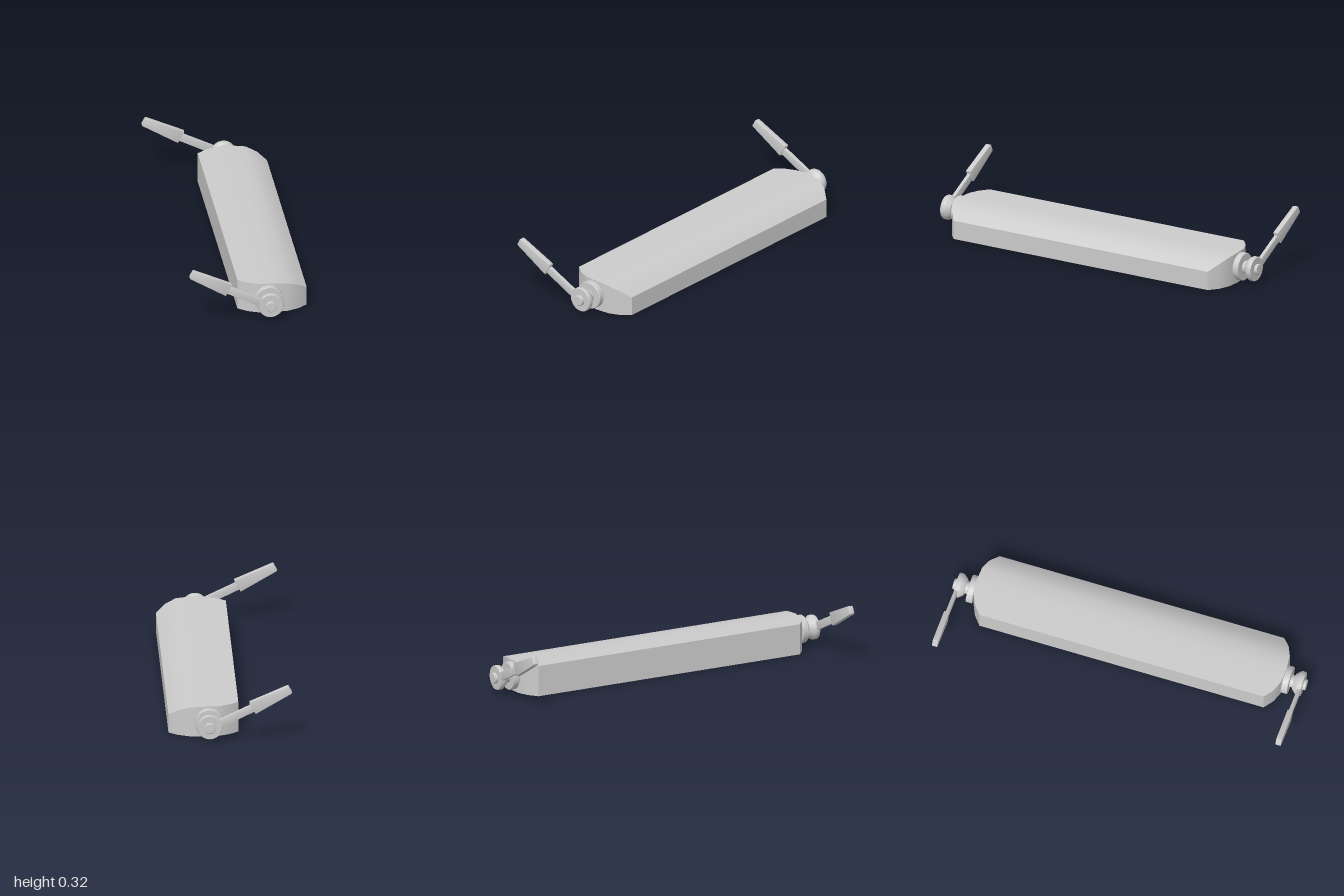
import * as THREE from 'three';
import { toCreasedNormals } from 'three/addons/utils/BufferGeometryUtils.js';

const material = new THREE.MeshStandardMaterial({ color: 0xcccccc });
const HUB = { x: 0.113, y: 0.087 };

function addMesh(parent, name, geometry, crease = 0.6) {
  const mesh = new THREE.Mesh(toCreasedNormals(geometry, crease), material);
  mesh.name = name;
  parent.add(mesh);
  return mesh;
}

// Long block lofted across x: each section is [x, top height, half length]
function bodyGeometry() {
  const sections = [
    [-0.048, 0.171, 0.805], [0.002, 0.171, 0.846], [0.06, 0.171, 0.871], [0.141, 0.171, 0.878],
    [0.222, 0.164, 0.871], [0.281, 0.141, 0.846], [0.331, 0.105, 0.805],
  ];
  const positions = [];
  const index = [];
  const quad = (a, b, c, d) => index.push(a, b, c, a, c, d);
  for (const [x, y, z] of sections) positions.push(x, 0, -z, x, 0, z, x, y, z, x, y, -z);
  for (let i = 0; i < sections.length - 1; i++) {
    for (let k = 0; k < 4; k++) {
      const n = (k + 1) % 4;
      quad(i * 4 + k, i * 4 + 4 + k, i * 4 + 4 + n, i * 4 + n);
    }
  }
  const last = (sections.length - 1) * 4;
  quad(0, 1, 2, 3);
  quad(last + 3, last + 2, last + 1, last);
  const geometry = new THREE.BufferGeometry();
  geometry.setAttribute('position', new THREE.Float32BufferAttribute(positions, 3));
  geometry.setIndex(index);
  return geometry;
}

// Turned part along z; profile is [radius, distance from the middle]
function turned(profile, side) {
  const geometry = new THREE.LatheGeometry(profile.map(([r, d]) => new THREE.Vector2(r, d)), 48);
  return geometry.rotateX(side * Math.PI / 2).translate(HUB.x, HUB.y, 0);
}

// Flat bevelled plate with its outline in the xy plane, centred on z
function plate(points, thickness, bevel, z) {
  const shape = new THREE.Shape(points.map(([x, y]) => new THREE.Vector2(x, y)));
  const geometry = new THREE.ExtrudeGeometry(shape, {
    depth: thickness - 2 * bevel, bevelThickness: bevel, bevelSize: bevel, bevelOffset: -bevel, bevelSegments: 2,
  });
  return geometry.translate(0, 0, z - thickness / 2 + bevel);
}

export function createModel() {
  const model = new THREE.Group();
  model.name = 'blockWithLevers';
  addMesh(model, 'body', bodyGeometry());

  for (const side of [1, -1]) {
    const end = new THREE.Group();
    end.name = side > 0 ? 'frontLeverAssembly' : 'backLeverAssembly';
    model.add(end);

    // Mounting disc, neck, flared hub and end cap
    addMesh(end, 'mountingDisc', turned(
      [[0, 0.874], [0.074, 0.874], [0.077, 0.878], [0.077, 0.906], [0.074, 0.91], [0, 0.91]], side));
    addMesh(end, 'neck', turned([[0, 0.905], [0.035, 0.905], [0.035, 0.935], [0, 0.935]], side));
    addMesh(end, 'hub', turned(
      [[0, 0.93], [0.045, 0.93], [0.05, 0.936], [0.065, 0.953], [0.068, 0.959], [0.068, 0.978],
        [0.065, 0.983], [0, 0.983]], side));
    addMesh(end, 'endCap', turned(
      [[0, 0.98], [0.03, 0.98], [0.03, 0.997], [0.027, 1], [0, 1]], side));

    // Lever arm running into a tapered grip
    addMesh(end, 'leverArm', plate(
      [[0.1, 0.063], [0.12, 0.104], [-0.14, 0.229], [-0.16, 0.191]], 0.02, 0.002, side * 0.972));
    addMesh(end, 'leverGrip', plate(
      [[-0.135, 0.164], [-0.101, 0.222], [-0.101, 0.23], [-0.306, 0.32], [-0.314, 0.319],
        [-0.332, 0.286], [-0.33, 0.278]], 0.031, 0.003, side * 0.973));
  }
  return model;
}
